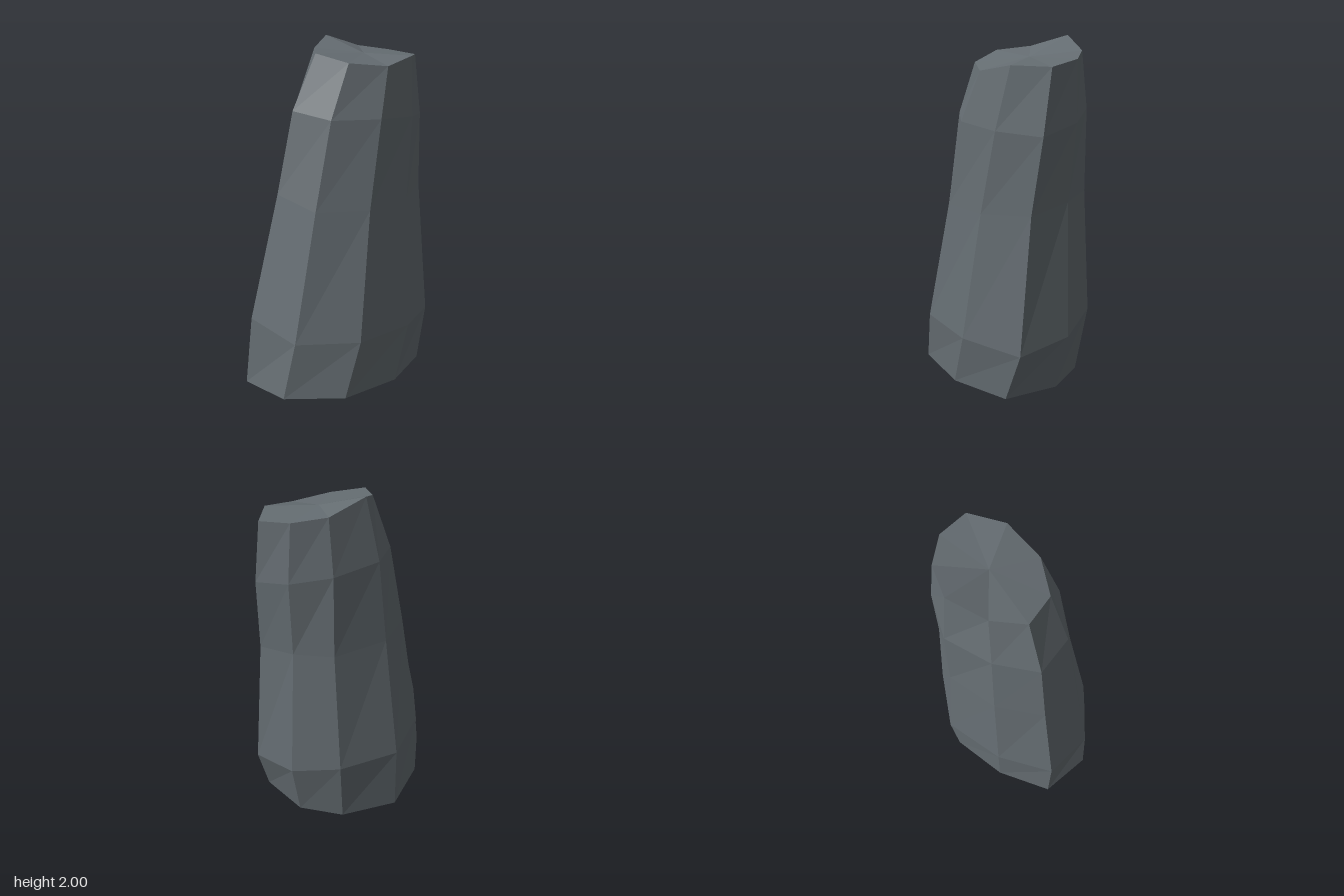
import * as THREE from 'three';

// Nine-sided cross-sections from the ground up; each corner is [x, y, z],
// running from the left-back corner round the front.
const base = [[-0.57, 0, -0.15], [-0.56, 0, 0.175], [-0.3, 0, 0.41], [0.08, 0, 0.445], [0.43, 0, 0.32],
  [0.485, 0, 0], [0.37, 0, -0.245], [0.08, 0, -0.43], [-0.27, 0, -0.34]];
const belly = [[-0.545, 0.4, -0.12], [-0.5, 0.32, 0.21], [-0.21, 0.32, 0.44], [0.185, 0.32, 0.45], [0.535, 0.3, 0.295],
  [0.565, 0.35, -0.02], [0.43, 0.41, -0.28], [0.11, 0.42, -0.45], [-0.26, 0.42, -0.335]];
const waist = [[-0.375, 1.12, -0.07], [-0.33, 1.05, 0.2], [-0.07, 1.05, 0.37], [0.25, 1.07, 0.36], [0.525, 1.1, 0.22],
  [0.525, 1.14, -0.03], [0.42, 1.15, -0.235], [0.13, 1.17, -0.365], [-0.16, 1.15, -0.27]];
const shoulder = [[-0.28, 1.59, -0.04], [-0.21, 1.55, 0.2], [0.04, 1.55, 0.345], [0.335, 1.54, 0.32], [0.57, 1.53, 0.18],
  [0.56, 1.58, -0.05], [0.42, 1.62, -0.235], [0.165, 1.65, -0.335], [-0.09, 1.62, -0.22]];
const rim = [[-0.13, 1.905, -0.01], [-0.06, 1.855, 0.185], [0.15, 1.835, 0.29], [0.39, 1.885, 0.26], [0.57, 1.885, 0.13],
  [0.54, 1.91, -0.06], [0.41, 1.935, -0.2], [0.2, 2, -0.27], [0, 1.93, -0.16]];

function facets(triangles) {
  const geometry = new THREE.BufferGeometry();
  geometry.setAttribute('position', new THREE.Float32BufferAttribute(triangles.flat(2), 3));
  geometry.computeVertexNormals();
  return geometry;
}

// Skin between neighbouring cross-sections
function loft(rings) {
  const triangles = [];
  for (let r = 0; r < rings.length - 1; r++) {
    const low = rings[r], high = rings[r + 1];
    for (let i = 0; i < low.length; i++) {
      const j = (i + 1) % low.length;
      triangles.push([low[i], low[j], high[j]], [low[i], high[j], high[i]]);
    }
  }
  return facets(triangles);
}

// Triangle fan closing one cross-section
function fan(ring, centre, up) {
  return facets(ring.map((p, i) => {
    const next = ring[(i + 1) % ring.length];
    return up ? [centre, p, next] : [centre, next, p];
  }));
}

export function createModel() {
  const group = new THREE.Group();
  group.name = 'rockPillar';
  const stone = new THREE.MeshStandardMaterial({ color: 0x656d72, flatShading: true });
  stone.name = 'stone grey';

  const add = (name, geometry) => {
    const mesh = new THREE.Mesh(geometry, stone);
    mesh.name = name;
    group.add(mesh);
  };
  add('rockSides', loft([base, belly, waist, shoulder, rim]));
  add('rockTop', fan(rim, [0.23, 1.9, 0.02], true));
  add('rockBottom', fan(base, [0, 0, 0], false));
  return group;
}
